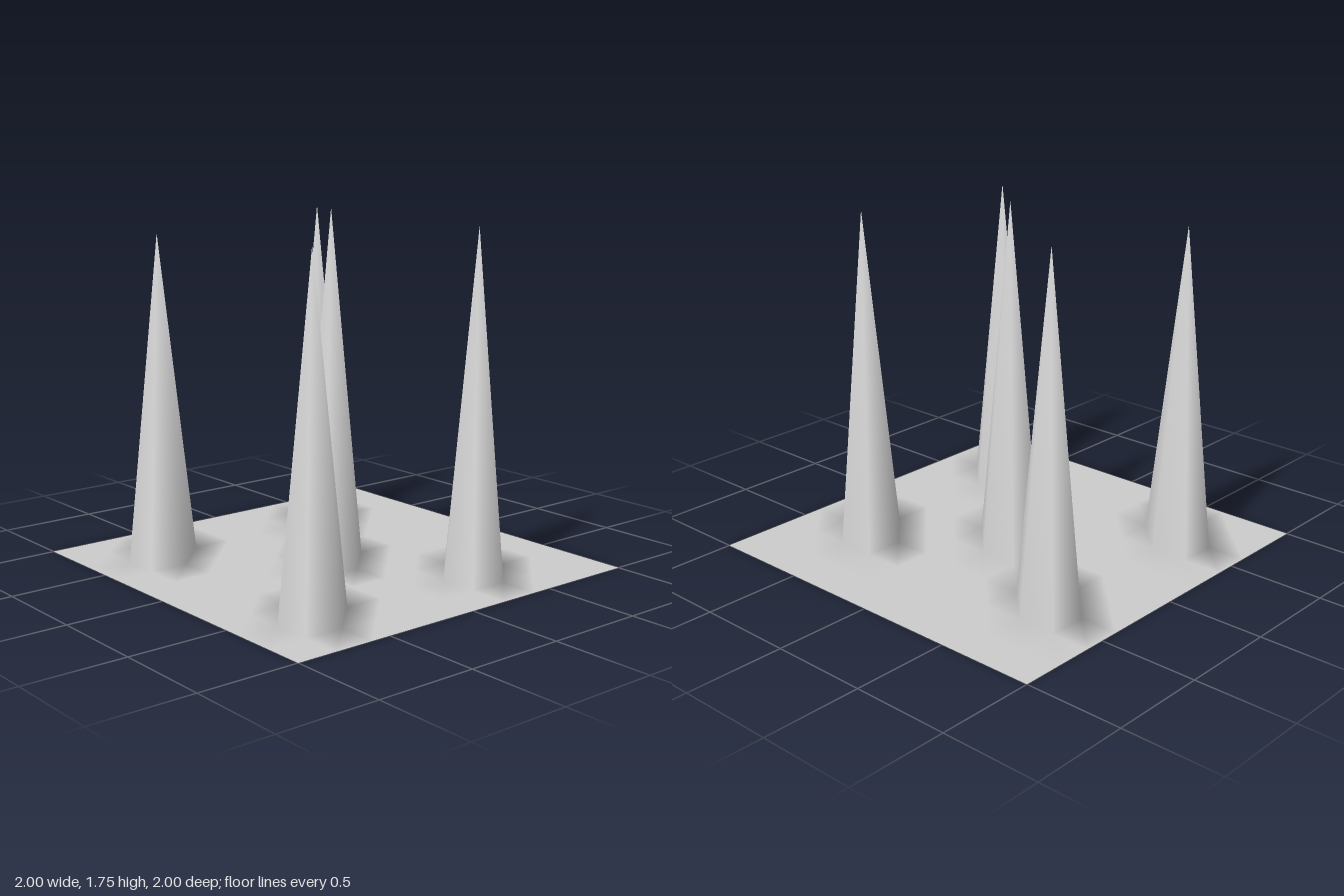
import * as THREE from 'three';

// Spikes: x, z and height of each raised grid point
const SPIKES = [
  [0, 0, 1.75],
  [0.4, -0.6, 1.71],
  [0.4, 0.6, 1.68],
  [-0.6, 0.6, 1.65],
  [-0.6, -0.6, 1.62],
];

export function createModel() {
  const model = new THREE.Group();
  model.name = 'spikedSheet';

  // Flat sheet on a 10 x 10 grid
  const sheet = new THREE.PlaneGeometry(2, 2, 10, 10);
  sheet.rotateX(-Math.PI / 2);

  // Pull single grid points up into spikes
  const pos = sheet.attributes.position;
  for (let i = 0; i < pos.count; i++) {
    const spike = SPIKES.find(([x, z]) => Math.hypot(pos.getX(i) - x, pos.getZ(i) - z) < 0.01);
    pos.setY(i, spike ? spike[2] : 0);
  }
  sheet.computeVertexNormals();

  const material = new THREE.MeshStandardMaterial({ color: 0xcccccc, side: THREE.DoubleSide });
  const mesh = new THREE.Mesh(sheet, material);
  mesh.name = 'spikedTerrain';
  model.add(mesh);
  return model;
}
